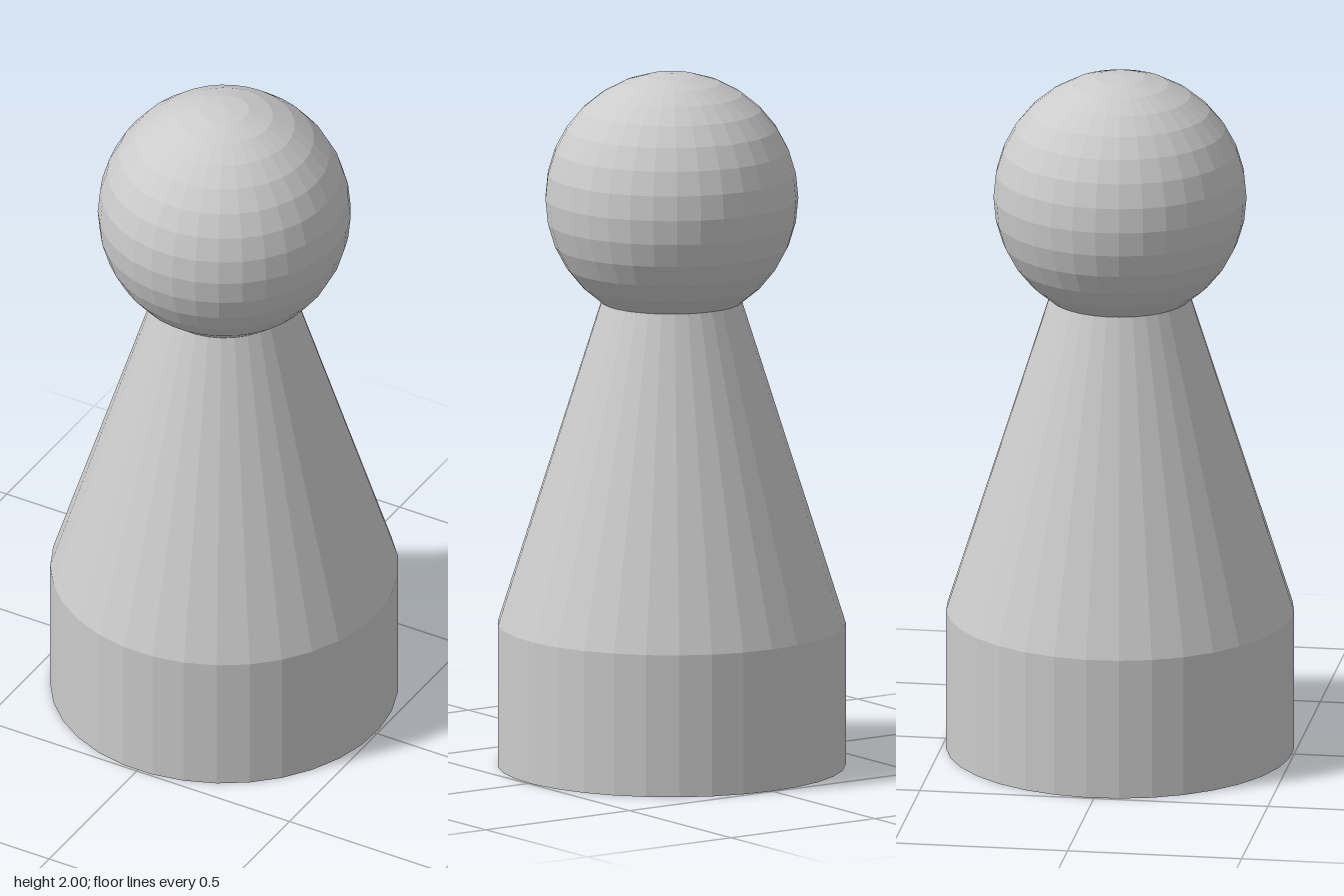
import * as THREE from 'three';

const SIDES = 33;
const BASE_R = 0.495, NECK_R = 0.2, HEAD_R = 0.36;
const SHOULDER_Y = 0.41, HEAD_Y = 1.64;
const RINGS = 16, NECK_RING = 13; // the head sphere is cut at this ring, where the neck joins
const NECK_Y = HEAD_Y + HEAD_R * Math.cos((NECK_RING / RINGS) * Math.PI);

export function createModel() {
  const group = new THREE.Group();
  group.name = 'pawn';
  const material = new THREE.MeshStandardMaterial({ color: 0xcccccc, flatShading: true });

  // Turns a bottom-to-top [radius, y] profile around the vertical axis
  const turn = (name, profile) => {
    const points = profile.map(([r, y]) => new THREE.Vector2(r, y));
    const mesh = new THREE.Mesh(new THREE.LatheGeometry(points, SIDES, Math.PI), material);
    mesh.name = name;
    group.add(mesh);
  };

  // Closed cylindrical base
  turn('base', [[0, 0], [BASE_R, 0], [BASE_R, SHOULDER_Y]]);

  // Tapered body up to the neck
  turn('body', [[BASE_R, SHOULDER_Y], [NECK_R, NECK_Y]]);

  // Faceted ball head, open where it meets the neck
  const head = [];
  for (let i = NECK_RING; i >= 0; i--) {
    const a = (i / RINGS) * Math.PI;
    head.push([HEAD_R * Math.sin(a), HEAD_Y + HEAD_R * Math.cos(a)]);
  }
  turn('head', head);

  return group;
}
